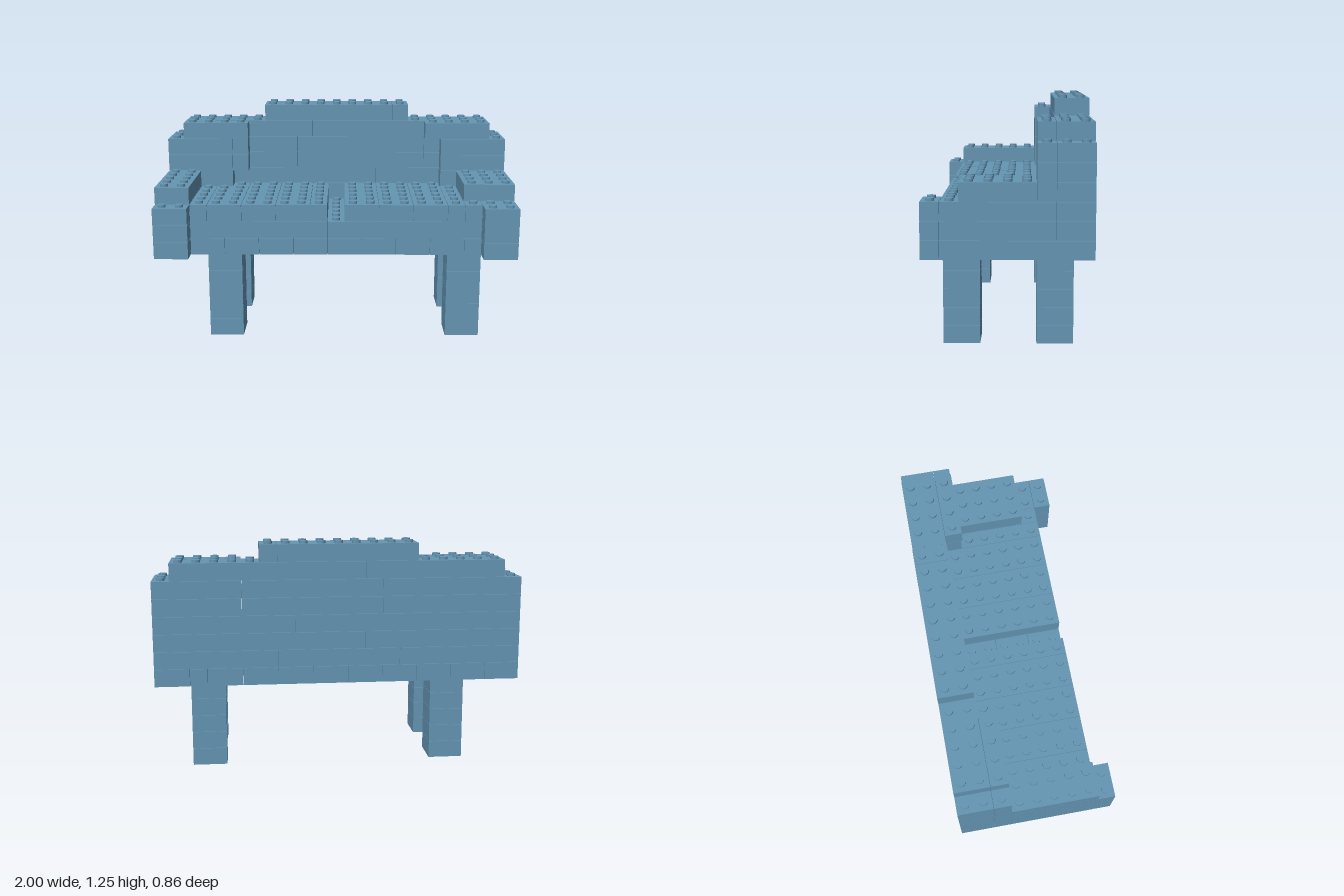
import * as THREE from 'three';
import { mergeGeometries } from 'three/addons/utils/BufferGeometryUtils.js';

// Grid: 21 columns (x), 9 rows (z, from the back), 13 layers (y)
const P = 2 / 21;
const H = 0.0954;
const GAP = 0.002;
const STUD_R = 0.0225;
const STUD_H = 0.014;
const colX = (c) => c * P - 1;
const rowZ = (r) => (r - 4.5) * P;

export function createModel() {
  const model = new THREE.Group();
  model.name = 'brickSofa';
  const blue = new THREE.MeshStandardMaterial({ color: 0x6595b3 });
  blue.name = 'steelBlue';

  const filled = new Set();
  const parts = new Map();
  const key = (c, r, l) => `${c},${r},${l}`;
  const addTo = (name, geometry) => {
    if (!parts.has(name)) parts.set(name, []);
    parts.get(name).push(geometry);
  };

  // A run of bricks on one layer, rows r0..r1, split at the given columns
  function run(name, layer, r0, r1, cuts) {
    for (let i = 0; i + 1 < cuts.length; i++) {
      const [c0, c1] = [cuts[i], cuts[i + 1]];
      const box = new THREE.BoxGeometry((c1 - c0) * P - GAP, H - GAP, (r1 - r0) * P - GAP);
      box.translate((colX(c0) + colX(c1)) / 2, (layer + 0.5) * H, (rowZ(r0) + rowZ(r1)) / 2);
      addTo(name, box);
      for (let c = c0; c < c1; c++)
        for (let r = r0; r < r1; r++) filled.add(key(c, r, layer));
    }
  }

  // Four legs, five bricks each
  for (let l = 0; l < 5; l++) {
    for (const c of [3, 17]) {
      run('backLegs', l, 1, 3, [c, c + 2]);
      run('frontLegs', l, 6, 8, [c, c + 2]);
    }
  }

  // Seat base
  run('seatBase', 5, 0, 8, [0, 2, 4, 6, 8, 10, 12, 14, 16, 18, 19, 21]);
  run('seatBase', 6, 0, 2, [0, 7, 14, 21]);
  run('seatBase', 6, 2, 8, [0, 2, 10]);
  run('seatBase', 6, 2, 4, [10, 11]);
  run('seatBase', 6, 4, 6, [10, 11]);
  run('seatBase', 6, 6, 8, [10, 11]);
  run('seatBase', 6, 2, 8, [11, 19, 21]);

  // Two cushions with a one-stud gap between them
  run('backRail', 7, 0, 2, [0, 9, 21]);
  run('rightCushion', 7, 2, 8, [0, 2, 3, 5, 7, 9, 10]);
  run('leftCushion', 7, 2, 8, [11, 13, 15, 17, 18, 19, 21]);

  // Arm fronts and arms
  for (const l of [5, 6, 7]) {
    run('armFronts', l, 8, 9, [0, 2]);
    run('armFronts', l, 8, 9, [19, 21]);
  }
  run('rightArm', 8, 3, 8, [0, 2]);
  run('leftArm', 8, 3, 7, [18, 21]);

  // Backrest
  run('backrest', 8, 0, 2, [0, 13, 21]);
  run('backrest', 9, 0, 2, [0, 8, 16, 21]);
  run('backrest', 10, 0, 2, [0, 8, 16, 21]);
  run('backrest', 11, 0, 2, [1, 9, 20]);
  run('backrestTop', 12, 0, 2, [6, 14, 15]);

  // Corner pillars in front of the backrest
  run('rightPillar', 8, 2, 3, [0, 4]);
  run('rightPillar', 9, 2, 3, [0, 4, 5]);
  run('rightPillar', 10, 2, 3, [0, 4, 5]);
  run('rightPillar', 11, 2, 3, [1, 5]);
  for (const l of [8, 9, 10]) run('leftPillar', l, 2, 3, [17, 21]);
  run('leftPillar', 11, 2, 3, [16, 20]);

  // Studs on every uncovered brick top
  for (const k of filled) {
    const [c, r, l] = k.split(',').map(Number);
    if (filled.has(key(c, r, l + 1))) continue;
    const stud = new THREE.CylinderGeometry(STUD_R, STUD_R, STUD_H + GAP, 16);
    stud.translate(colX(c + 0.5), (l + 1) * H + (STUD_H - GAP) / 2, rowZ(r + 0.5));
    addTo('studs', stud);
  }

  for (const [name, list] of parts) {
    const mesh = new THREE.Mesh(mergeGeometries(list), blue);
    mesh.name = name;
    model.add(mesh);
  }
  return model;
}
